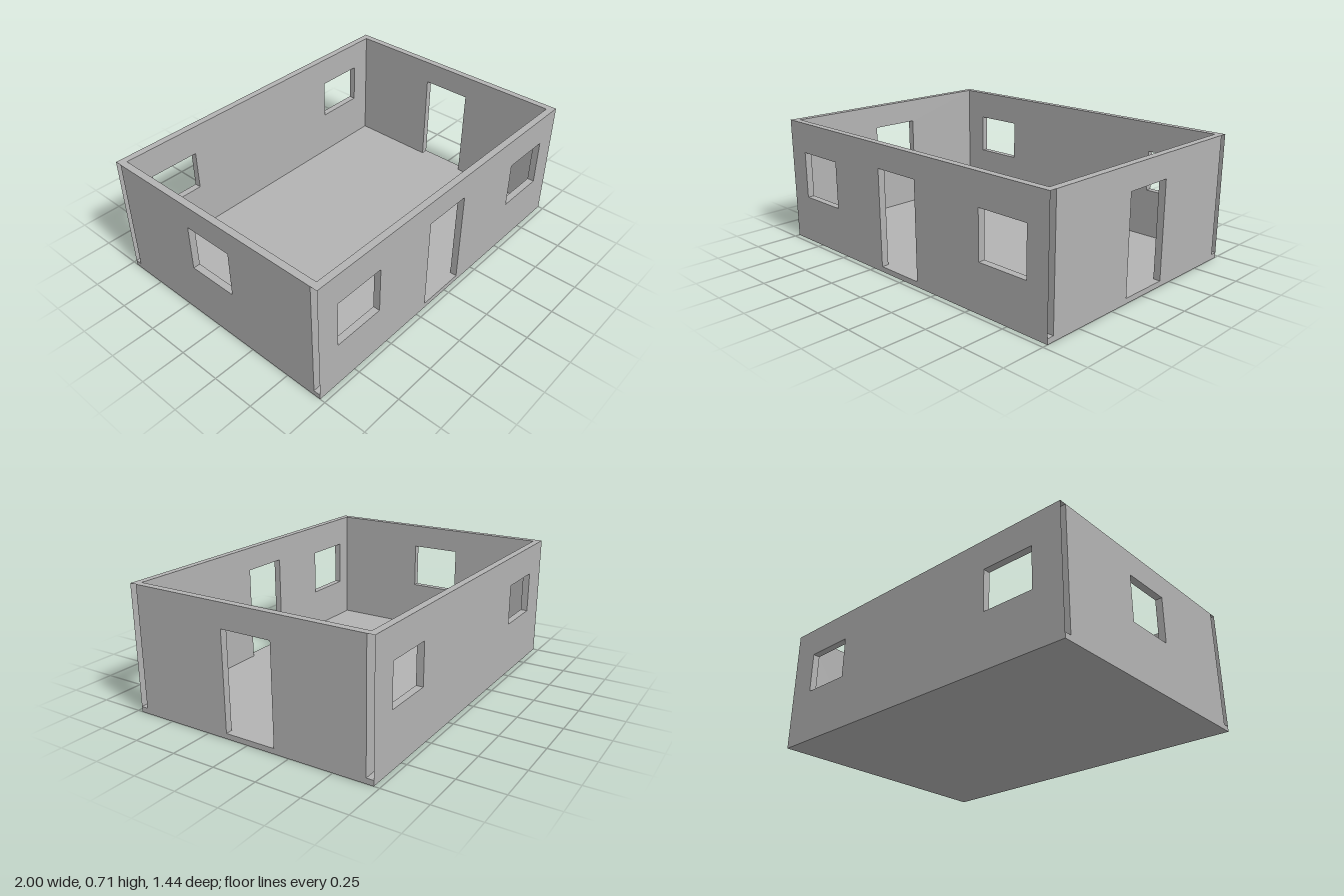
import * as THREE from 'three';

const FLOOR = 0.03, TOP = 0.715, THICK = 0.04;
const HALF_X = 1, HALF_Z = 0.72, INNER_Z = HALF_Z - THICK;

// Upright wall panel in the xy plane; door = [x0, x1, top], windows = [x0, x1, y0, y1]
function wallGeometry(half, door, windows) {
  const points = [[-half, FLOOR]];
  if (door) {
    const [a, b, top] = door;
    points.push([a, FLOOR], [a, top], [b, top], [b, FLOOR]);
  }
  points.push([half, FLOOR], [half, TOP], [-half, TOP]);
  const shape = new THREE.Shape(points.map(([x, y]) => new THREE.Vector2(x, y)));
  for (const [x0, x1, y0, y1] of windows) {
    const corners = [[x0, y0], [x0, y1], [x1, y1], [x1, y0]];
    shape.holes.push(new THREE.Path(corners.map(([x, y]) => new THREE.Vector2(x, y))));
  }
  return new THREE.ExtrudeGeometry(shape, { depth: THICK, bevelEnabled: false });
}

// Leaves the two end edges of a panel open
function openEnds(geometry, half) {
  const p = geometry.attributes.position;
  const kept = [];
  for (let i = 0; i < p.count; i += 3) {
    const isEnd = [-half, half].some((x) =>
      [0, 1, 2].every((k) => Math.abs(p.getX(i + k) - x) < 1e-5));
    if (!isEnd) kept.push(i, i + 1, i + 2);
  }
  geometry.clearGroups();
  geometry.setIndex(kept);
  return geometry;
}

export function createModel() {
  const model = new THREE.Group();
  model.name = 'roomShell';
  const plaster = new THREE.MeshStandardMaterial({ color: 0xb3b3b3, side: THREE.DoubleSide });
  plaster.name = 'greyPlaster';

  const add = (name, geometry, x, y, z) => {
    const mesh = new THREE.Mesh(geometry, plaster);
    mesh.name = name;
    mesh.position.set(x, y, z);
    model.add(mesh);
  };

  // Floor slab under the whole room
  add('floor', new THREE.BoxGeometry(2 * HALF_X, FLOOR, 2 * HALF_Z), 0, FLOOR / 2, 0);

  // Front wall: door between two windows
  const front = wallGeometry(HALF_X, [-0.18, 0.11, 0.58],
    [[-0.87, -0.567, 0.27, 0.54], [0.567, 0.87, 0.27, 0.54]]);
  add('frontWall', openEnds(front, HALF_X), 0, 0, INNER_Z);

  // Back wall: two windows
  const back = wallGeometry(HALF_X, null,
    [[-0.825, -0.525, 0.31, 0.545], [0.545, 0.84, 0.31, 0.545]]);
  add('backWall', openEnds(back, HALF_X), 0, 0, -HALF_Z);

  // Side walls fit between front and back: a door at +x, a window at -x
  const doorSide = wallGeometry(INNER_Z, [-0.163, 0.132, 0.58], []);
  add('leftWall', doorSide.rotateY(-Math.PI / 2), HALF_X, 0, 0);
  const windowSide = wallGeometry(INNER_Z, null, [[-0.163, 0.132, 0.31, 0.578]]);
  add('rightWall', windowSide.rotateY(-Math.PI / 2), -HALF_X + THICK, 0, 0);

  return model;
}
